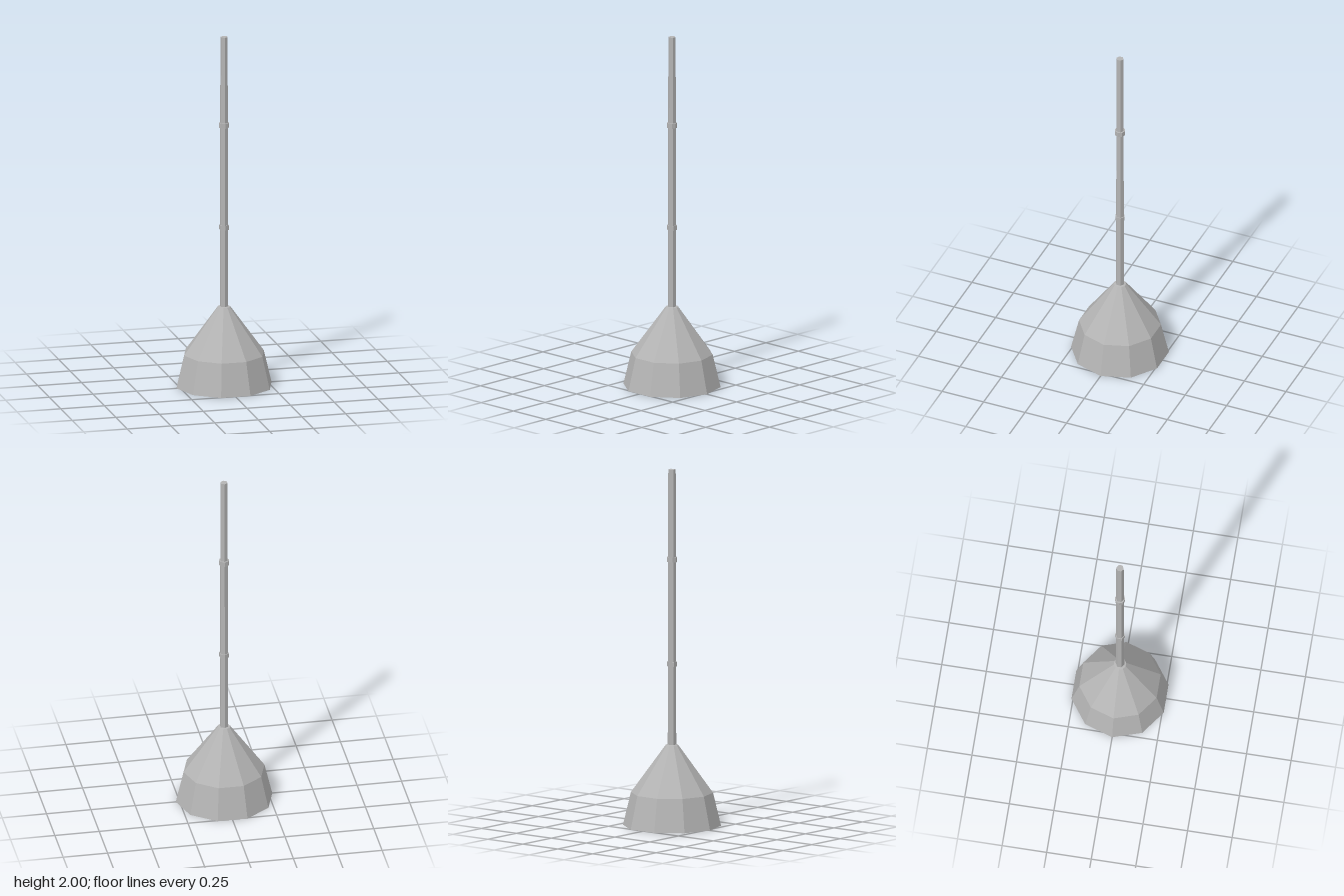
import * as THREE from 'three';

export function createModel() {
  const model = new THREE.Group();
  const grey = new THREE.MeshStandardMaterial({ color: 0xb4b4b4, flatShading: true });
  grey.name = 'grey metal';

  const add = (name, geometry, y = 0) => {
    const mesh = new THREE.Mesh(geometry, grey);
    mesh.name = name;
    mesh.position.y = y;
    model.add(mesh);
  };

  // Ten-sided closed base: steep skirt below, cone above, corners on the x axis
  const profile = [[0, 0], [0.272, 0], [0.228, 0.185], [0.035, 0.452], [0, 0.458]]
    .map(([r, y]) => new THREE.Vector2(r, y));
  add('base', new THREE.LatheGeometry(profile, 10, Math.PI / 2));

  // Slightly tapering hexagonal mast
  add('mast', new THREE.CylinderGeometry(0.021, 0.024, 1.56, 6), 1.22);

  // Collars around the mast
  add('lowerCollar', new THREE.CylinderGeometry(0.028, 0.028, 0.026, 6), 0.907);
  add('upperCollar', new THREE.CylinderGeometry(0.029, 0.029, 0.028, 8), 1.494);

  return model;
}
